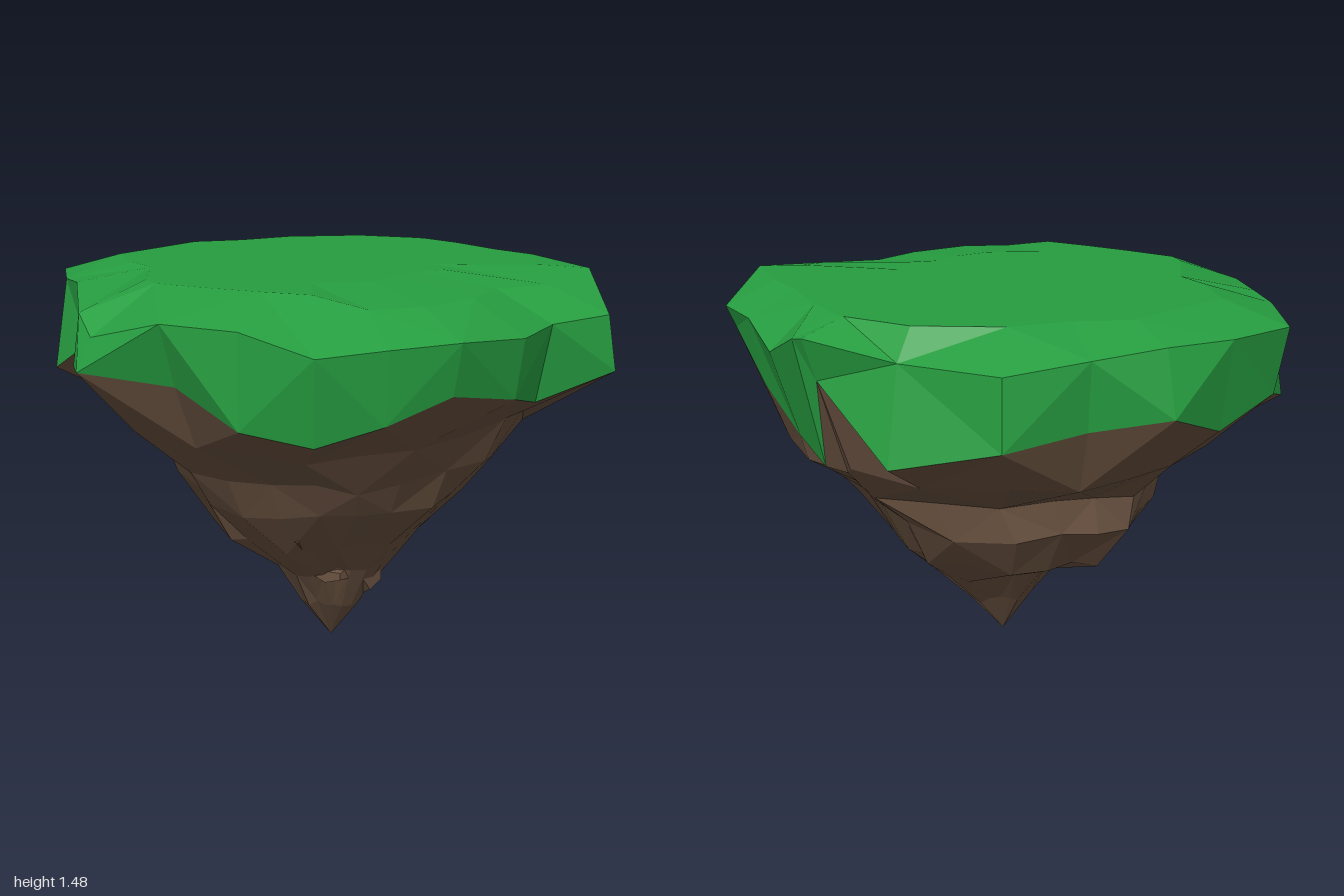
import * as THREE from 'three';

// Outline columns: x, z, lower-edge scale, lower-edge y, shoulder scale, shoulder y
const COLUMNS = [
  [1.00, 0.00, 0.91, 1.03, 1.00, 1.34],
  [0.96, 0.28, 0.96, 1.15, 1.00, 1.39],
  [0.96, 0.50, 0.97, 1.31, 1.00, 1.39],
  [0.73, 0.73, 0.83, 0.92, 1.00, 1.47],
  [0.57, 0.98, 1.00, 1.15, 0.97, 1.35],
  [0.31, 0.89, 0.95, 1.06, 1.00, 1.34],
  [0.06, 0.97, 0.97, 1.13, 1.00, 1.34],
  [-0.25, 0.97, 0.96, 1.19, 1.00, 1.37],
  [-0.46, 0.86, 0.97, 1.11, 1.00, 1.36],
  [-0.65, 0.73, 0.94, 1.04, 1.00, 1.34],
  [-0.77, 0.50, 0.98, 1.08, 0.97, 1.40],
  [-0.88, 0.26, 0.92, 1.19, 1.00, 1.41],
  [-1.00, -0.04, 1.00, 1.22, 0.94, 1.33],
  [-0.96, -0.17, 0.97, 1.21, 0.94, 1.39],
  [-0.70, -0.48, 0.97, 1.20, 1.00, 1.43],
  [-0.69, -0.67, 1.00, 1.08, 0.94, 1.42],
  [-0.49, -0.89, 0.96, 1.17, 1.00, 1.41],
  [-0.20, -0.94, 0.96, 1.10, 1.00, 1.42],
  [0.07, -0.99, 1.00, 1.21, 0.94, 1.43],
  [0.31, -0.87, 0.97, 1.17, 1.00, 1.41],
  [0.59, -0.80, 1.00, 1.14, 0.98, 1.38],
  [0.84, -0.52, 1.00, 1.05, 0.92, 1.38],
  [0.99, -0.25, 0.95, 1.29, 1.00, 1.44],
  [1.00, -0.20, 0.90, 0.97, 1.00, 1.43],
];

// Rock levels: y, then reach towards -x, +x, -z, +z
const LEVELS = [
  [0.95, -0.72, 0.86, -0.78, 0.76],
  [0.80, -0.58, 0.73, -0.58, 0.67],
  [0.67, -0.48, 0.61, -0.59, 0.59],
  [0.48, -0.36, 0.50, -0.44, 0.40],
  [0.34, -0.19, 0.35, -0.14, 0.28],
  [0.18, -0.10, 0.18, -0.03, 0.20],
];
const TIP = [0.04, 0, 0.09];
const TOP_Y = 1.48;

function seeded(seed) {
  return () => {
    seed = (seed * 16807) % 2147483647;
    return seed / 2147483647;
  };
}

// Joins rings (listed bottom to top) and closes either end onto a point
function loft(rings, bottomPoint, topPoint) {
  const positions = [];
  const n = rings[0].length;
  const tri = (a, b, c) => positions.push(...a, ...b, ...c);
  for (let i = 0; i < n; i++) {
    const j = (i + 1) % n;
    for (let k = 0; k + 1 < rings.length; k++) {
      const low = rings[k], high = rings[k + 1];
      if ((i + k) % 2) {
        tri(low[i], high[i], low[j]);
        tri(high[i], high[j], low[j]);
      } else {
        tri(low[i], high[i], high[j]);
        tri(low[i], high[j], low[j]);
      }
    }
    const last = rings[rings.length - 1];
    if (bottomPoint) tri(bottomPoint, rings[0][i], rings[0][j]);
    if (topPoint) tri(last[i], topPoint, last[j]);
  }
  const geometry = new THREE.BufferGeometry();
  geometry.setAttribute('position', new THREE.Float32BufferAttribute(positions, 3));
  geometry.computeVertexNormals();
  return geometry;
}

export function createModel() {
  const group = new THREE.Group();
  group.name = 'floatingIsland';
  const random = seeded(77);
  const grassMaterial = new THREE.MeshStandardMaterial({ color: 0x269d40, flatShading: true });
  const rockMaterial = new THREE.MeshStandardMaterial({ color: 0x6b5341, flatShading: true });

  const add = (name, geometry, material) => {
    const mesh = new THREE.Mesh(geometry, material);
    mesh.name = name;
    group.add(mesh);
    return mesh;
  };

  // Grass cap: scalloped lower edge, shoulder, sloped rim that dips at the front, flat top
  const edge = COLUMNS.map(([x, z, s, y]) => [x * s, y, z * s]);
  const shoulder = COLUMNS.map(([x, z, , , s, y]) => [x * s, y, z * s]);
  const rim = COLUMNS.map(([x, z]) => {
    const s = x < -0.6 ? 0.68 : z < -0.6 ? 0.76 : z > 0.8 ? 0.78 : 0.83;
    return [x * s, z > 0.8 ? 1.445 : TOP_Y, z * s];
  });
  const plateau = COLUMNS.map(([x, z]) => [x * 0.45, TOP_Y, z * 0.45]);
  add('grassCap', loft([edge, shoulder, rim, plateau], null, [0, TOP_Y, 0]), grassMaterial);

  // Rock underside: uneven rings shrinking to a point
  const rings = LEVELS.map(([y, left, right, back, front], level) =>
    COLUMNS.map(([x, z], i) => {
      const angle = Math.atan2(z - TIP[2], x - TIP[0]);
      const c = Math.cos(angle), s = Math.sin(angle);
      const reachX = c > 0 ? right - TIP[0] : TIP[0] - left;
      const reachZ = s > 0 ? front - TIP[2] : TIP[2] - back;
      const bump = 1.03 - random() * 0.08;
      const lift = (random() - 0.5) * 0.05;
      const top = level === 0 ? Math.min(y + lift, edge[i][1] - 0.05) : y + lift;
      return [TIP[0] + c * reachX * bump, top, TIP[2] + s * reachZ * bump];
    }));
  add('rockUnderside', loft([...rings.reverse(), edge], TIP, null), rockMaterial);

  // Small outcrops near the tip and on the flank: x, y, z, width, height, depth
  const outcrops = [
    [0.12, 0.28, 0.17, 0.11, 0.1, 0.09],
    [-0.06, 0.33, 0.2, 0.09, 0.04, 0.07],
    [-0.29, 0.62, 0.24, 0.1, 0.13, 0.09],
  ];
  for (const [x, y, z, w, h, d] of outcrops) {
    const rock = add('rockOutcrop', new THREE.DodecahedronGeometry(1), rockMaterial);
    rock.position.set(x, y, z);
    rock.scale.set(w, h, d);
    rock.rotation.y = x * 5;
  }
  return group;
}
